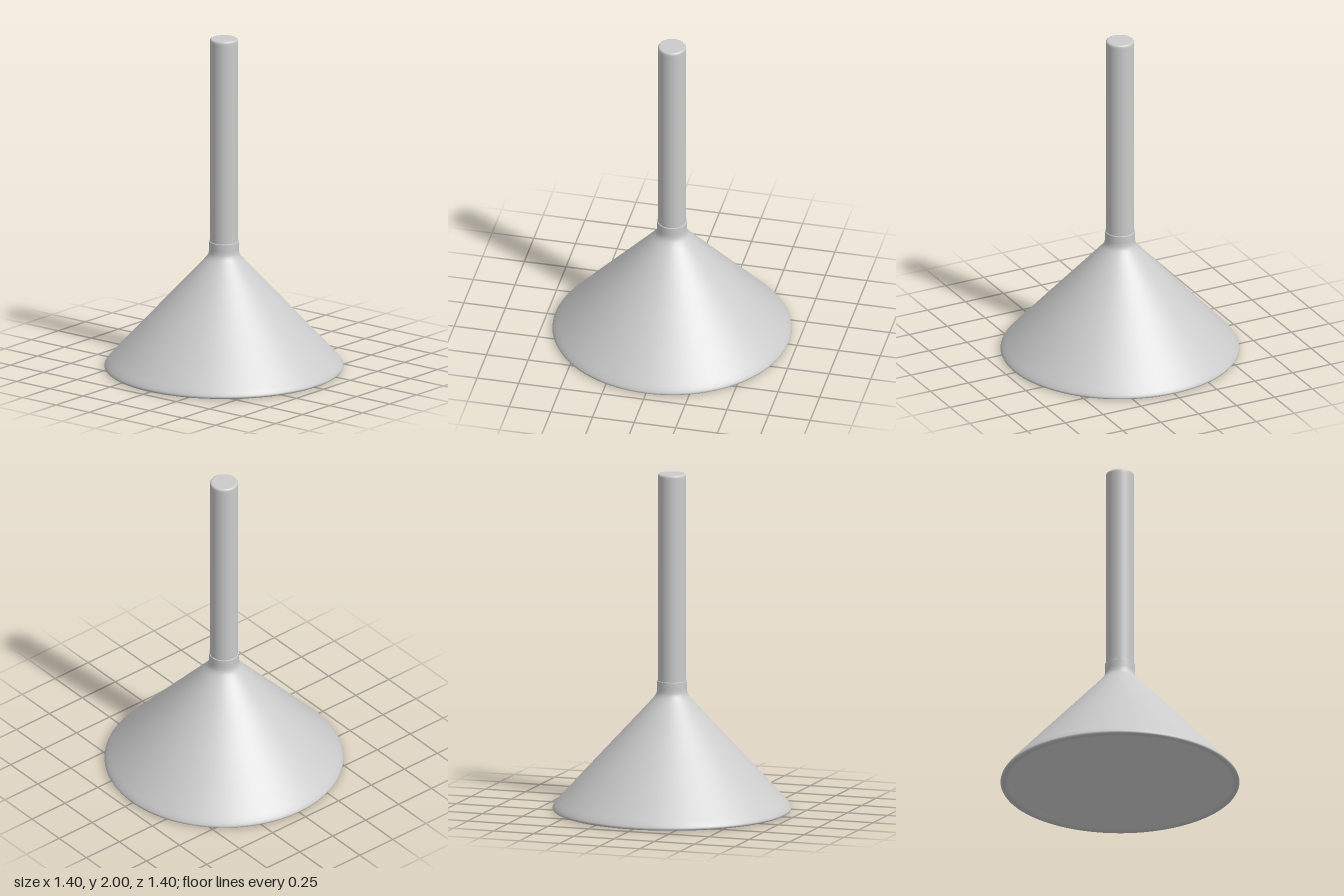
import * as THREE from 'three';

const material = new THREE.MeshStandardMaterial({ color: 0xcccccc });

// Turns a list of [radius, height] pairs into a smooth round part
function turned(name, profile, segments = 96) {
  const points = profile.map(([r, y]) => new THREE.Vector2(r, y));
  const mesh = new THREE.Mesh(new THREE.LatheGeometry(points, segments), material);
  mesh.name = name;
  return mesh;
}

export function createModel() {
  const group = new THREE.Group();
  group.name = 'pendantLamp';

  // Hollow conical shade: inside from apex to rim, rolled rim, outside up to the collar
  group.add(turned('shade', [
    [0, 0.68], [0.05, 0.68], [0.062, 0.672], [0.09, 0.645], [0.35, 0.35],
    [0.63, 0.045], [0.65, 0.022], [0.657, 0.012], [0.664, 0.006], [0.672, 0.002],
    [0.68, 0], [0.69, 0.002], [0.697, 0.006], [0.7, 0.012], [0.698, 0.019],
    [0.69, 0.032], [0.67, 0.056], [0.4, 0.35], [0.16, 0.61], [0.115, 0.66],
    [0.1, 0.678], [0.092, 0.692], [0.089, 0.705], [0.088, 0.72],
  ]));

  // Short collar gripping the stem
  group.add(turned('collar', [
    [0.088, 0.715], [0.088, 0.766], [0.0875, 0.769], [0.086, 0.77], [0.08, 0.77],
  ]));

  // Straight stem with a softly bevelled, closed top
  group.add(turned('stem', [
    [0, 0.69], [0.078, 0.69], [0.083, 0.695], [0.083, 0.72], [0.083, 1.97],
    [0.083, 1.985], [0.082, 1.992], [0.079, 1.997], [0.074, 2], [0.07, 2], [0, 2],
  ]));

  return group;
}
